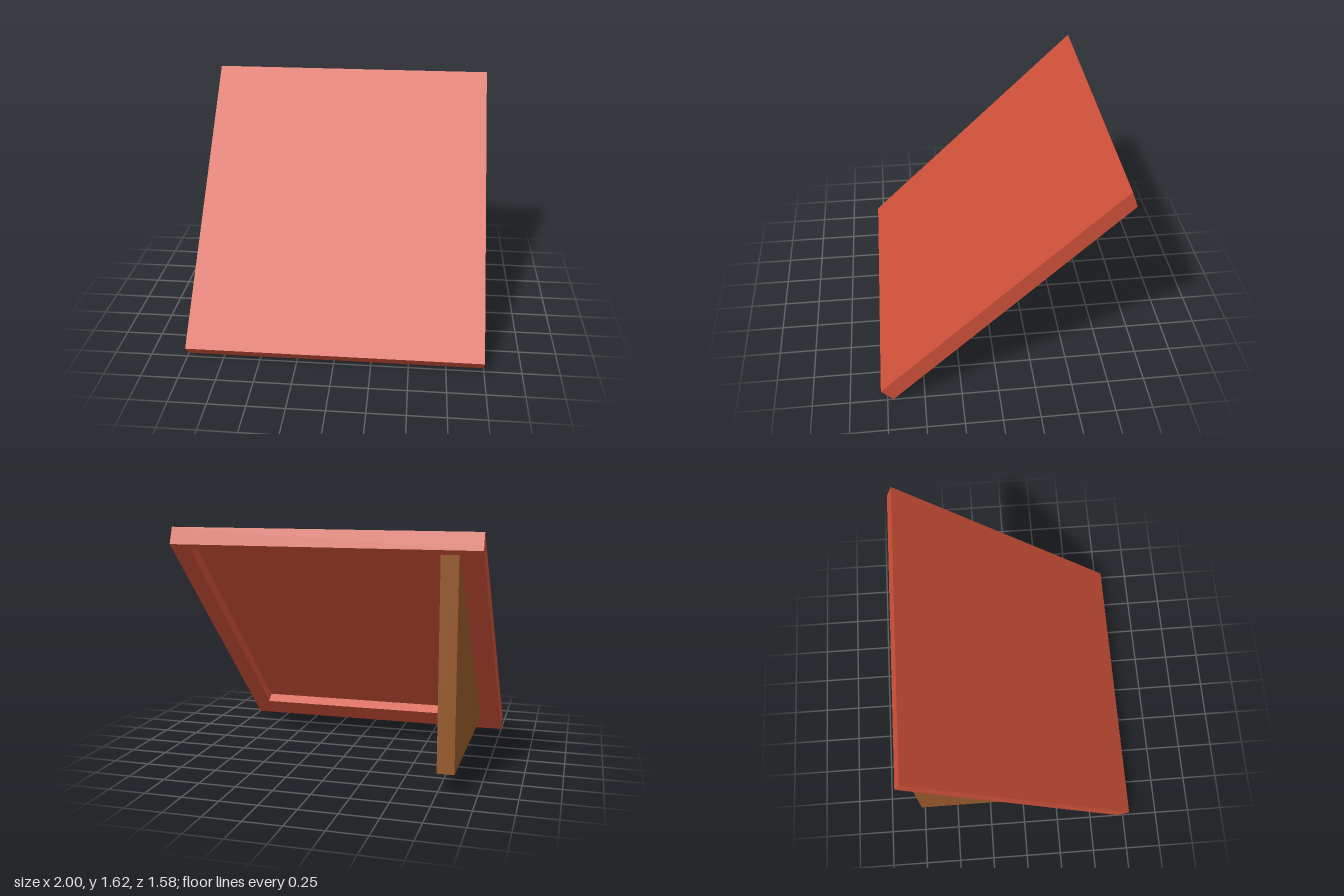
import * as THREE from 'three';

// Four corners of a sloping rectangle, from its x range and the [z, y] of its eave and ridge edges
function ring(x0, x1, [eaveZ, eaveY], [ridgeZ, ridgeY]) {
  return [
    [x0, eaveY, eaveZ], [x1, eaveY, eaveZ],
    [x1, ridgeY, ridgeZ], [x0, ridgeY, ridgeZ],
  ];
}

// Skins successive rings and caps the first and last one
function skinRings(rings) {
  const positions = [];
  const quad = (a, b, c, d) => positions.push(...a, ...b, ...c, ...a, ...c, ...d);
  const first = rings[0];
  const last = rings[rings.length - 1];
  quad(...first);
  for (let r = 0; r < rings.length - 1; r++) {
    for (let i = 0; i < 4; i++) {
      const j = (i + 1) % 4;
      quad(rings[r][i], rings[r + 1][i], rings[r + 1][j], rings[r][j]);
    }
  }
  quad(last[3], last[2], last[1], last[0]);
  const geometry = new THREE.BufferGeometry();
  geometry.setAttribute('position', new THREE.Float32BufferAttribute(positions, 3));
  geometry.computeVertexNormals();
  return geometry;
}

export function createModel() {
  const model = new THREE.Group();
  model.name = 'slopedRoofPanel';
  const terracotta = new THREE.MeshStandardMaterial({ name: 'terracotta', color: 0xcd5039 });
  const wood = new THREE.MeshStandardMaterial({ name: 'brownWood', color: 0x985a2b });

  // Outer and inner faces of the support; the recess ends flush with the outer one
  const supportOuter = -0.855;
  const supportInner = -0.744;
  const recessLeft = 0.873;

  // Sloping panel: top, underside, opening of the recess, recess floor
  const panel = new THREE.Mesh(skinRings([
    ring(-1, 1, [0.79, 0.086], [-0.75, 1.615]),
    ring(-1, 1, [0.711, 0], [-0.79, 1.507]),
    ring(supportOuter, recessLeft, [0.585, 0.1265], [-0.757, 1.4739]),
    ring(supportOuter, recessLeft, [0.64, 0.1735], [-0.708, 1.527]),
  ]), terracotta);
  panel.name = 'roofPanel';
  model.add(panel);

  // Triangular support against the underside, on one side only
  const triangle = new THREE.Shape([[-0.764, 0.124], [0.588, 0.124], [-0.764, 1.478]]
    .map(([z, y]) => new THREE.Vector2(z, y)));
  const supportGeometry = new THREE.ExtrudeGeometry(triangle,
    { depth: supportInner - supportOuter, bevelEnabled: false });
  supportGeometry.rotateY(-Math.PI / 2).translate(supportInner, 0, 0);
  const support = new THREE.Mesh(supportGeometry, wood);
  support.name = 'triangularSupport';
  model.add(support);

  return model;
}
